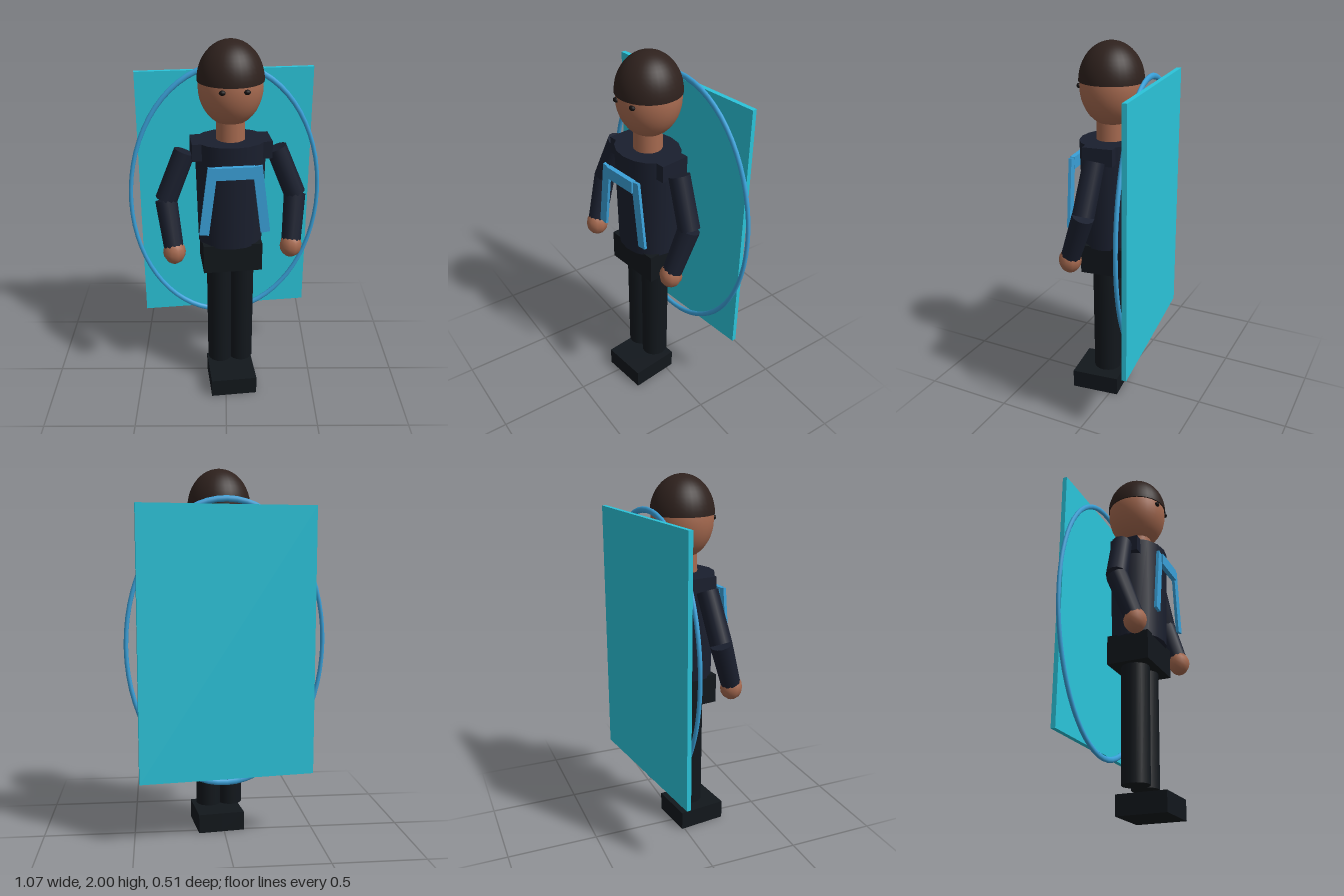
import * as THREE from 'three';

const material = (color) => new THREE.MeshStandardMaterial({ color });

export function createModel() {
  const skin = material(0xa5694f), hair = material(0x2e211d), jacket = material(0x1a1f2e);
  const trousers = material(0x12171c), blue = material(0x3aa0d8), teal = material(0x2bc4da);
  const black = material(0x141010);

  const model = new THREE.Group();
  model.name = 'figureWithPanel';
  // everything is turned slightly around the vertical axis
  const body = new THREE.Group();
  body.name = 'turnedFigure';
  body.position.set(0.022, 0, 0.033);
  body.rotation.y = 0.122;
  model.add(body);

  const add = (name, geometry, mat, x, y, z) => {
    const mesh = new THREE.Mesh(geometry, mat);
    mesh.name = name;
    mesh.position.set(x, y, z);
    body.add(mesh);
    return mesh;
  };
  const box = (name, w, h, d, mat, x, y, z) => add(name, new THREE.BoxGeometry(w, h, d), mat, x, y, z);

  // cylinder running from point a to point b
  const limb = (name, a, b, rA, rB, mat) => {
    const dir = b.clone().sub(a);
    const mid = a.clone().add(b).multiplyScalar(0.5);
    const mesh = add(name, new THREE.CylinderGeometry(rB, rA, dir.length(), 12), mat, mid.x, mid.y, mid.z);
    mesh.quaternion.setFromUnitVectors(new THREE.Vector3(0, 1, 0), dir.normalize());
    return mesh;
  };

  // panel and oval ring behind the figure
  box('backPanel', 0.95, 1.44, 0.025, teal, 0, 1.08, -0.222);
  add('ovalRing', new THREE.TorusGeometry(0.528, 0.0115, 10, 64), blue, 0, 1.08, -0.196).scale.y = 1.42;

  // head
  add('head', new THREE.SphereGeometry(0.164, 32, 20), skin, 0, 1.77, 0.005).scale.y = 1.22;
  const cap = new THREE.SphereGeometry(0.169, 32, 12, 0, Math.PI * 2, 0, Math.PI / 2);
  add('hair', cap, hair, 0, 1.8, 0.005).scale.y = 1.18;
  const capBase = add('hairUnderside', new THREE.CircleGeometry(0.169, 32), hair, 0, 1.8, 0.005);
  capBase.rotation.x = Math.PI / 2;
  add('neck', new THREE.CylinderGeometry(0.073, 0.076, 0.14, 16), skin, 0, 1.55, 0.012);

  // torso and hips
  add('torso', new THREE.CylinderGeometry(0.186, 0.172, 0.57, 16), jacket, 0, 1.215, 0.015).scale.z = 0.84;
  box('shoulderYoke', 0.41, 0.09, 0.16, jacket, 0, 1.455, 0.012);
  box('hips', 0.316, 0.16, 0.233, trousers, 0, 0.86, 0.014);

  // chest harness
  box('chestStrap', 0.2, 0.065, 0.026, blue, 0, 1.378, 0.19);

  for (const [side, s] of [['left', 1], ['right', -1]]) {
    const eye = add(side + 'Eye', new THREE.SphereGeometry(0.015, 12, 8), black, s * 0.06, 1.777, 0.158);
    eye.scale.set(1.15, 0.85, 0.9);

    const strap = box(side + 'HarnessStrap', 0.05, 0.37, 0.016, blue, s * 0.136, 1.226, 0.187);
    strap.rotation.z = s * 0.13;

    // arm
    const shoulder = new THREE.Vector3(s * 0.238, 1.44, 0.016);
    const elbow = new THREE.Vector3(s * 0.342, 1.185, 0.038);
    const wrist = new THREE.Vector3(s * 0.315, 0.95, 0.12);
    limb(side + 'UpperArm', shoulder, elbow, 0.056, 0.058, jacket);
    limb(side + 'Forearm', elbow, wrist, 0.058, 0.052, jacket);
    add(side + 'Hand', new THREE.SphereGeometry(0.06, 10, 8), skin, s * 0.312, 0.923, 0.127).scale.y = 1.13;

    // leg and foot
    add(side + 'Leg', new THREE.CylinderGeometry(0.071, 0.069, 0.645, 16), trousers, s * 0.06, 0.4775, 0.017).scale.z = 1.08;
    box(side + 'Foot', 0.129, 0.105, 0.27, trousers, s * 0.0645, 0.0525, 0.072);
  }
  return model;
}
